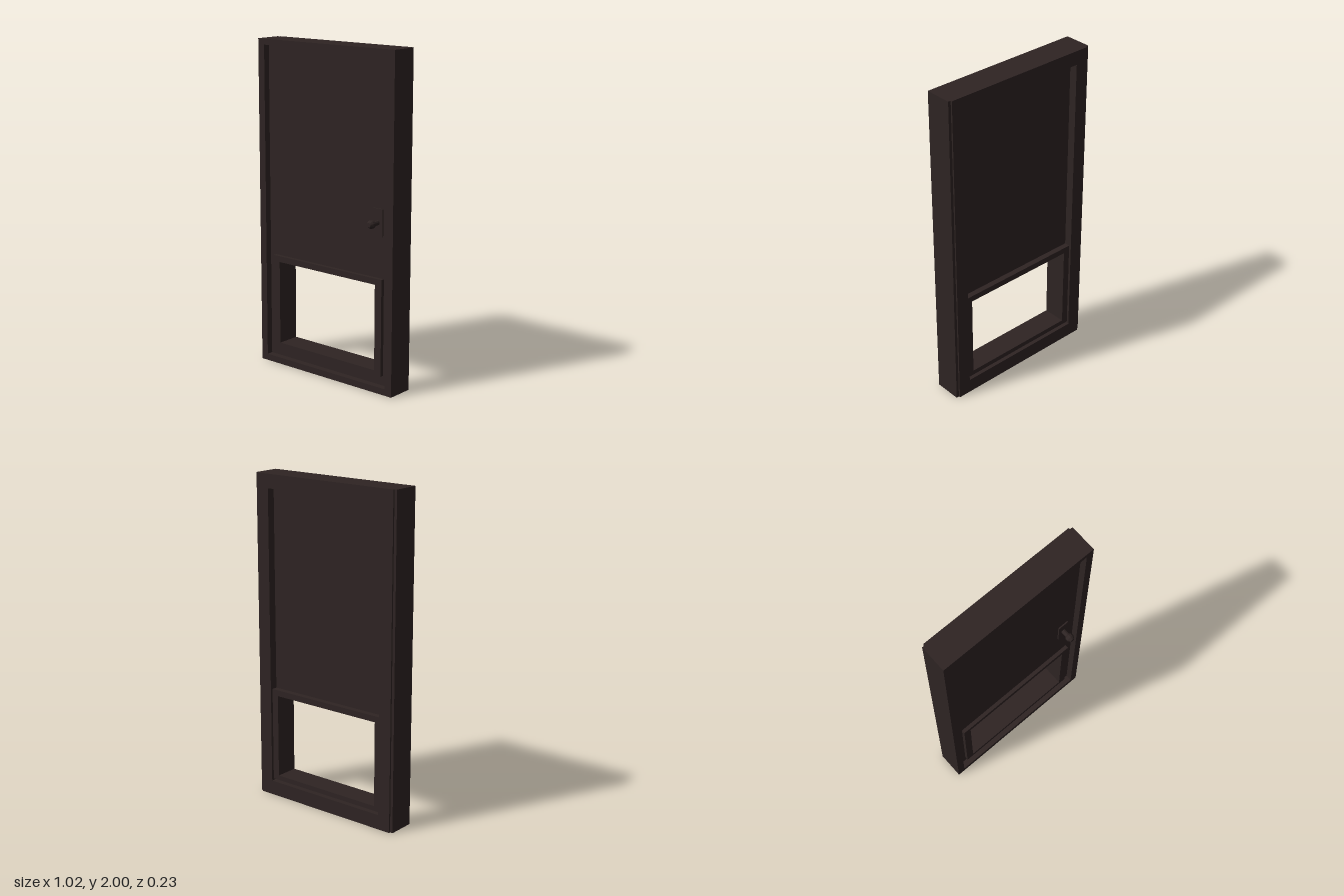
import * as THREE from 'three';

const darkWood = new THREE.MeshStandardMaterial({ color: 0x2e2423 });
darkWood.name = 'darkWood';

// Rectangle given by half width and bottom/top heights
function rect(Type, halfWidth, bottom, top) {
  return new Type([
    new THREE.Vector2(-halfWidth, bottom),
    new THREE.Vector2(halfWidth, bottom),
    new THREE.Vector2(halfWidth, top),
    new THREE.Vector2(-halfWidth, top),
  ]);
}

// Rectangular ring running from z = back to z = front
function ring(name, outer, inner, back, front) {
  const shape = rect(THREE.Shape, ...outer);
  shape.holes.push(rect(THREE.Path, ...inner));
  const geometry = new THREE.ExtrudeGeometry(shape, { depth: front - back, bevelEnabled: false });
  geometry.translate(0, 0, back);
  const mesh = new THREE.Mesh(geometry, darkWood);
  mesh.name = name;
  return mesh;
}

export function createModel() {
  const door = new THREE.Group();
  door.name = 'door';

  const outline = [0.512, 0, 2];
  const leaf = [0.465, 0.04, 1.965];
  const stop = [0.415, 0.09, 1.915];
  const trim = [0.42, 0.1, 0.685];
  const opening = [0.372, 0.13, 0.648];

  // Surround: wide rebate at the front, narrower stop and lip at the back
  door.add(
    ring('frame', outline, leaf, -0.065, 0.062),
    ring('frameStop', outline, stop, -0.105, -0.065),
    ring('backLip', [0.495, 0, 2], stop, -0.115, -0.105),
  );

  // Door leaf with the lower opening and its raised trim
  door.add(
    ring('doorPanel', leaf, trim, -0.065, 0.022),
    ring('openingTrim', trim, opening, -0.1, 0.045),
  );

  // Handle: thin plate, neck and faceted knob
  const handle = new THREE.Group();
  handle.name = 'handle';
  handle.position.set(0.377, 1.012, 0.022);
  const plate = new THREE.Mesh(new THREE.BoxGeometry(0.07, 0.165, 0.008), darkWood);
  plate.name = 'handlePlate';
  plate.position.z = 0.004;
  const profile = [
    [0.015, 0], [0.015, 0.046], [0.025, 0.056], [0.025, 0.073], [0.014, 0.09], [0, 0.09],
  ].map(([r, y]) => new THREE.Vector2(r, y));
  const lathe = new THREE.LatheGeometry(profile, 10).toNonIndexed();
  lathe.computeVertexNormals();
  const knob = new THREE.Mesh(lathe, darkWood);
  knob.name = 'knob';
  knob.rotation.x = Math.PI / 2;
  handle.add(plate, knob);
  door.add(handle);

  return door;
}
